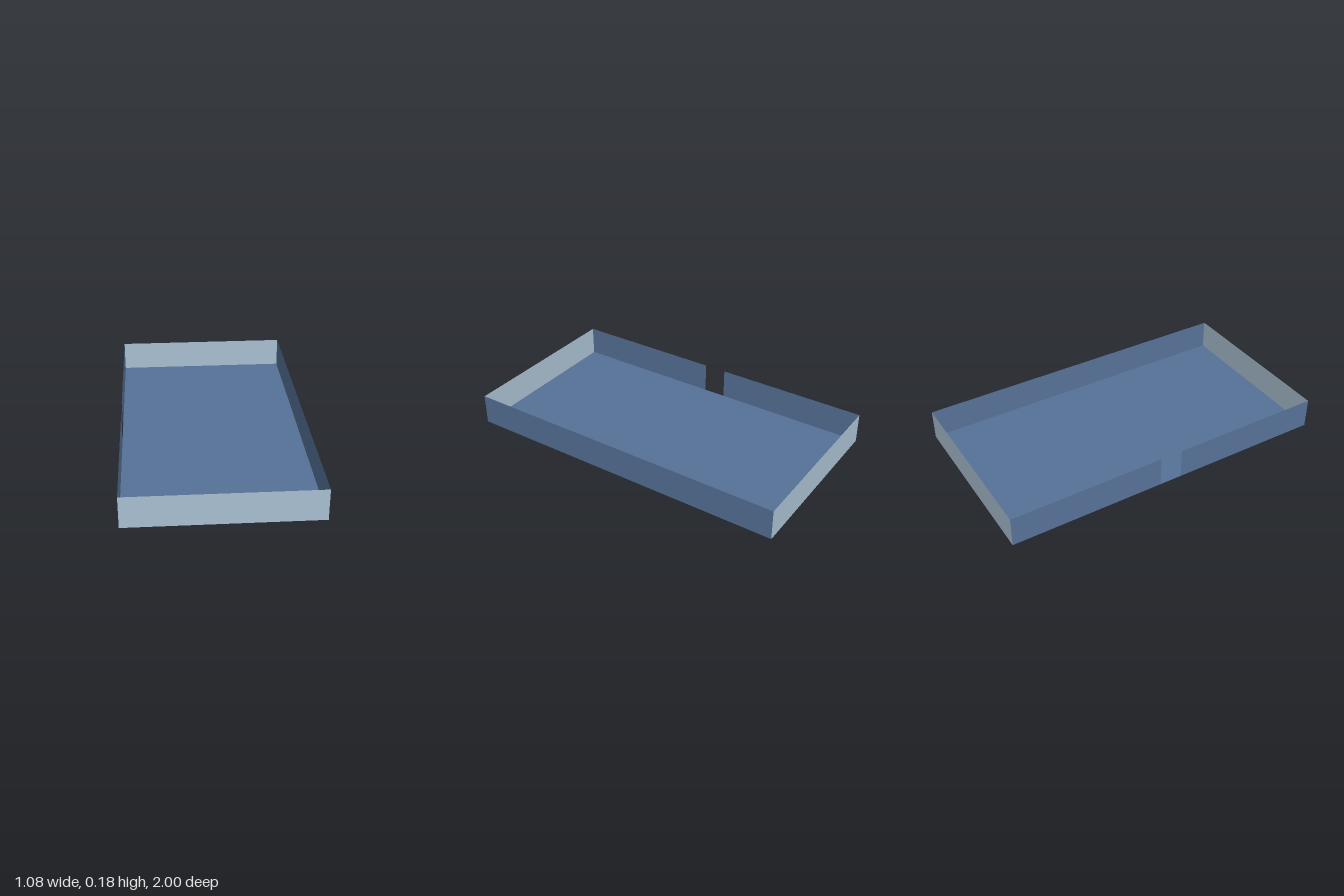
import * as THREE from 'three';

const W = 1.08, L = 2, H = 0.184, GAP = 0.069;

export function createModel() {
  const group = new THREE.Group();
  const blue = new THREE.MeshStandardMaterial({ color: 0x567298, side: THREE.DoubleSide });
  blue.name = 'slate blue';
  const pale = new THREE.MeshStandardMaterial({ color: 0xaac0d2, side: THREE.DoubleSide });
  pale.name = 'pale blue grey';

  // Thin sheet of the given size, turned and placed
  const sheet = (name, material, w, h, pos, rx = 0, ry = 0) => {
    const mesh = new THREE.Mesh(new THREE.PlaneGeometry(w, h), material);
    mesh.name = name;
    mesh.position.set(...pos);
    mesh.rotation.set(rx, ry, 0);
    group.add(mesh);
  };

  // Floor
  sheet('floor', blue, W, L, [0, 0, 0], -Math.PI / 2);

  // End walls
  sheet('frontWall', pale, W, H, [0, H / 2, L / 2]);
  sheet('backWall', pale, W, H, [0, H / 2, -L / 2], 0, Math.PI);

  // Unbroken left wall
  sheet('leftWall', blue, L, H, [W / 2, H / 2, 0], 0, Math.PI / 2);

  // Right wall in two halves, with a doorway between them
  const half = L / 2 - GAP;
  for (const [name, s] of [['rightWallFront', 1], ['rightWallBack', -1]]) {
    sheet(name, blue, half, H, [-W / 2, H / 2, s * (GAP + half / 2)], 0, -Math.PI / 2);
  }
  return group;
}
